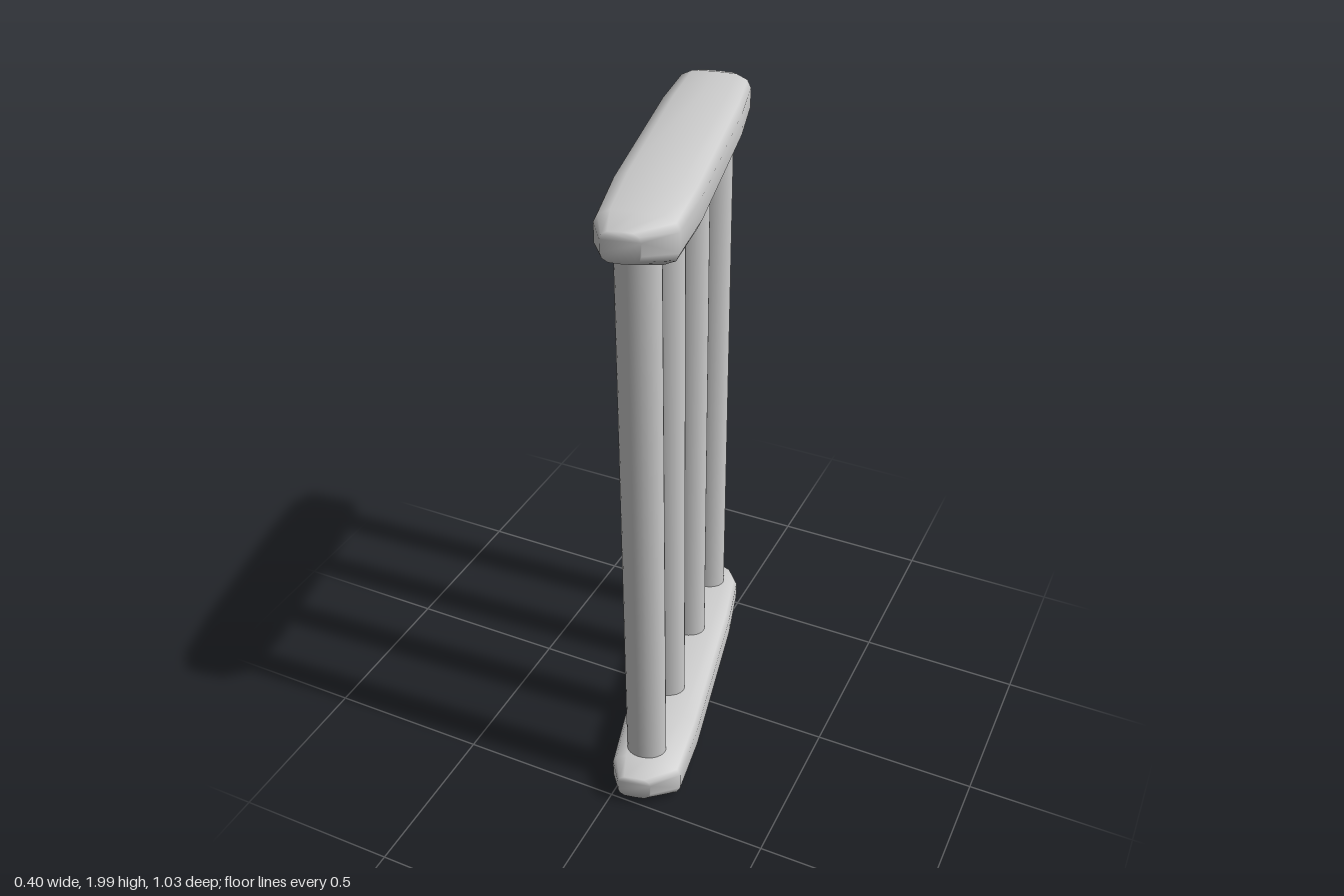
import * as THREE from 'three';

const material = new THREE.MeshStandardMaterial({ color: 0xcccccc });

// Rail stations, front to back: left x, z, right x, z, half height
const STATIONS = [
  [0.03, 0.512, 0.13, 0.49, 0.042],
  [-0.015, 0.455, 0.198, 0.42, 0.066],
  [-0.065, 0.27, 0.17, 0.23, 0.075],
  [-0.17, -0.23, 0.06, -0.28, 0.075],
  [-0.2, -0.42, 0.01, -0.46, 0.068],
  [-0.18, -0.495, -0.035, -0.515, 0.045],
];

// Rounded-box cross-section, counter-clockwise
const QUADRANT = [[1, 0.42], [0.9, 0.75], [0.6, 0.97]];
const SECTION = [
  ...QUADRANT,
  [0, 1],
  ...QUADRANT.map(([u, v]) => [-u, v]).reverse(),
  ...QUADRANT.map(([u, v]) => [-u, -v]),
  [0, -1],
  ...QUADRANT.map(([u, v]) => [u, -v]).reverse(),
];

// Loft the section through the stations; the rail rises toward the back
function railGeometry(yMid, slope) {
  const positions = [], indices = [], n = SECTION.length;
  for (const [lx, lz, rx, rz, h] of STATIONS) {
    for (const [u, v] of SECTION) {
      const t = (u + 1) / 2;
      const z = lz + (rz - lz) * t;
      positions.push(lx + (rx - lx) * t, yMid - slope * z + v * h, z);
    }
  }
  for (let i = 0; i < STATIONS.length - 1; i++) {
    for (let j = 0; j < n; j++) {
      const a = i * n + j, b = i * n + (j + 1) % n;
      indices.push(a, a + n, b, b, a + n, b + n);
    }
  }
  // End caps
  const last = (STATIONS.length - 1) * n;
  for (let j = 1; j < n - 1; j++) {
    indices.push(0, j, j + 1, last, last + j + 1, last + j);
  }
  const geometry = new THREE.BufferGeometry();
  geometry.setAttribute('position', new THREE.Float32BufferAttribute(positions, 3));
  geometry.setIndex(indices);
  geometry.computeVertexNormals();
  return geometry;
}

export function createModel() {
  const group = new THREE.Group();

  const addMesh = (name, geometry) => {
    const mesh = new THREE.Mesh(geometry, material);
    mesh.name = name;
    group.add(mesh);
    return mesh;
  };

  // Horizontal rails
  addMesh('topRail', railGeometry(1.915, 0.024));
  addMesh('bottomRail', railGeometry(0.088, 0.028));

  // Four upright bars, oval across the rail
  const barGeometry = new THREE.CylinderGeometry(1, 1, 1.81, 24);
  barGeometry.scale(0.061, 1, 0.046);
  [[0.07, 0.39], [0.015, 0.135], [-0.04, -0.145], [-0.08, -0.4]].forEach(([x, z], i) => {
    const bar = addMesh(`bar${i + 1}`, barGeometry);
    bar.position.set(x, 1.0, z);
    bar.rotation.y = 0.21;
  });

  return group;
}
